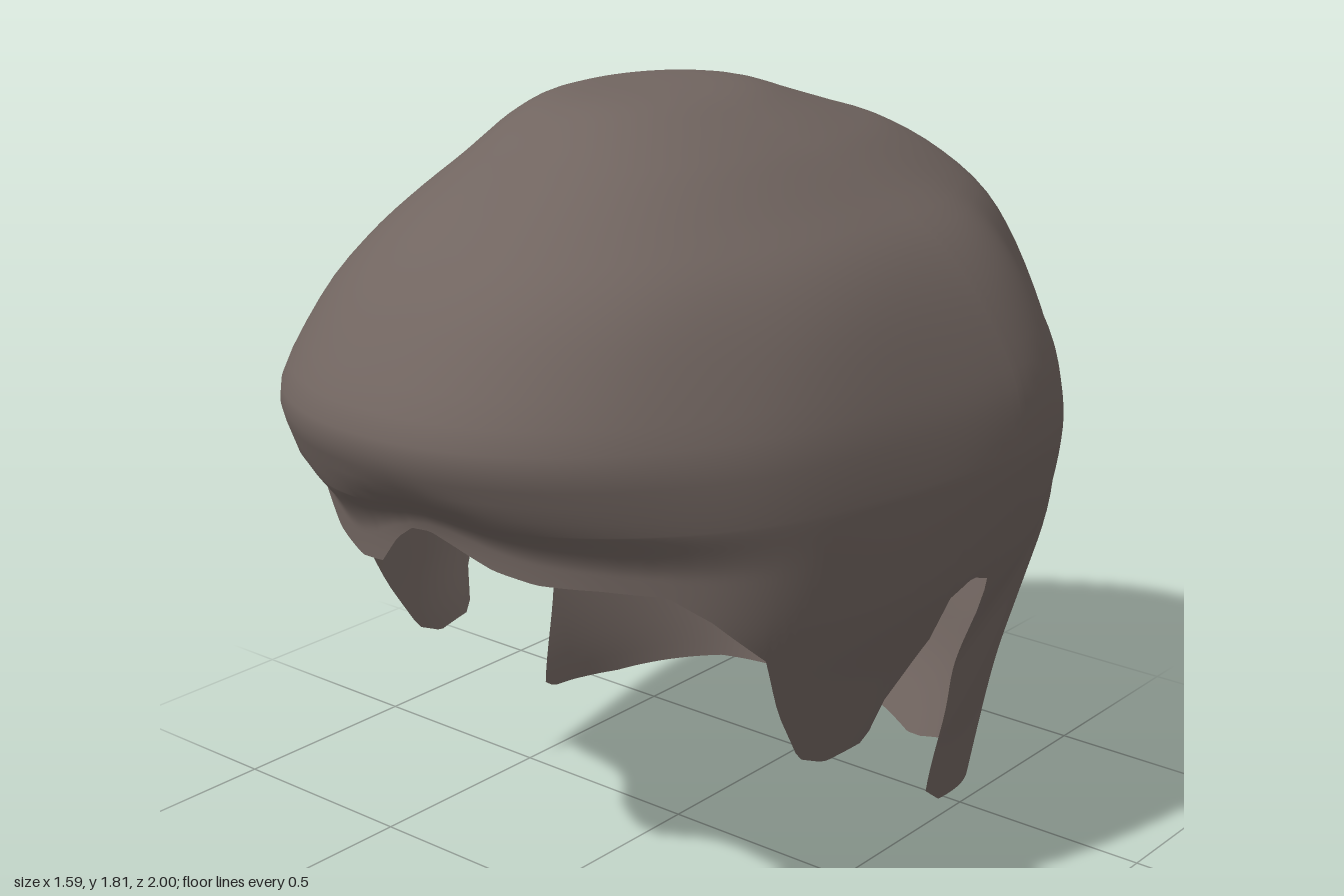
import * as THREE from 'three';

const COLS = 320, UPPER_ROWS = 34, LOWER_ROWS = 28;
const smooth = THREE.MathUtils.smoothstep;

// Horizontal cross-sections, crown to nape:
// [y, half width, centre x, front z, back z, z of widest point]
const LEVELS = [
  [1.815, 0, -0.07, 0.03, 0.03, 0.03],
  [1.812, 0.11, -0.07, 0.19, -0.14, 0.03],
  [1.797, 0.195, -0.055, 0.30, -0.26, 0.02],
  [1.76, 0.27, -0.035, 0.40, -0.37, 0],
  [1.72, 0.33, -0.015, 0.48, -0.49, -0.03],
  [1.68, 0.38, 0, 0.56, -0.61, -0.06],
  [1.61, 0.465, 0.01, 0.68, -0.74, -0.1],
  [1.52, 0.57, 0.02, 0.80, -0.83, -0.14],
  [1.40, 0.67, 0.01, 0.905, -0.895, -0.17],
  [1.24, 0.755, 0, 1.00, -0.955, -0.2],
  [1.12, 0.785, 0, 0.96, -0.985, -0.2],
  [1.00, 0.79, 0, 0.905, -1.0, -0.2],
  [0.80, 0.745, 0.01, 0.89, -0.985, -0.2],
  [0.60, 0.675, 0.01, 0.88, -0.945, -0.2],
  [0.40, 0.61, 0.02, 0.86, -0.895, -0.2],
  [0.20, 0.565, 0.025, 0.84, -0.85, -0.2],
  [0.00, 0.55, 0.02, 0.80, -0.775, -0.2],
];

// Height of the lower hem by angle in degrees (0 = front, 90 = left side)
const HEM = [
  [-180, 0.05], [-160, 0.06], [-135, 0.11], [-110, 0.12], [-95, 0.15], [-93.3, 0.17],
  [-91.8, 0.68], [-89.5, 0.75], [-85, 0.78], [-82, 0.75],
  [-81, 0.65], [-75, 0.52], [-74, 0.43], [-67, 0.42], [-62.5, 0.455], [-58, 0.59], [-54, 0.73],
  [-47, 0.83], [-41, 0.91], [-35, 0.97], [-31, 0.99], [-28, 0.975], [-23, 0.92], [-15, 0.89],
  [-9, 0.9], [-4, 0.97], [0, 1.005], [4, 1.01], [8, 0.99], [15, 0.95], [22, 0.93], [31, 0.925],
  [40, 0.91], [46, 0.85], [54, 0.74], [58, 0.59], [62.5, 0.455], [67, 0.42], [74, 0.43], [75, 0.52],
  [81, 0.65], [82, 0.75], [86, 0.78], [90.5, 0.75], [92.3, 0.65], [93.8, 0.17], [100, 0.12],
  [115, 0.09], [134, 0.06], [152, 0.03], [160, 0.005], [165, 0], [171, 0.02], [180, 0.05],
];

function hemHeight(deg) {
  const i = Math.max(1, HEM.findIndex((p) => p[0] >= deg));
  const [a, b] = [HEM[i - 1], HEM[i]];
  return THREE.MathUtils.lerp(a[1], b[1], (deg - a[0]) / (b[0] - a[0]));
}

// The brow roll echoes the fringe hem, softened
function lipHeight(deg) {
  const d = THREE.MathUtils.clamp(deg, -45, 45);
  return 0.1 + [-8, -4, 0, 4, 8].reduce((sum, o) => sum + Math.max(0.9, hemHeight(d + o)) / 5, 0);
}

// Column angles: even all round, denser along the steep ear-notch edges
function columnAngles() {
  const angles = Array.from({ length: COLS }, (_, c) => -180 + (360 * c) / COLS);
  for (const start of [-93.3, 92.3])
    for (let k = 0; k <= 18; k++) angles.push(start + (1.5 * k) / 18 + 0.003);
  return angles.sort((a, b) => a - b);
}

// Smoothly interpolated cross-section at level t
function section(t) {
  const i = Math.min(Math.floor(t), LEVELS.length - 2), f = t - i;
  const at = (k) => LEVELS[THREE.MathUtils.clamp(k, 0, LEVELS.length - 1)];
  return LEVELS[0].map((_, k) => {
    const p0 = at(i - 1)[k], p1 = at(i)[k], p2 = at(i + 1)[k], p3 = at(i + 2)[k];
    return p1 + 0.5 * f * (p2 - p0 + f * (2 * p0 - 5 * p1 + 4 * p2 - p3 + f * (3 * (p1 - p2) + p3 - p0)));
  });
}

function levelAt(y) {
  let lo = 0, hi = LEVELS.length - 1;
  for (let k = 0; k < 30; k++) {
    const mid = (lo + hi) / 2;
    if (section(mid)[0] > y) lo = mid; else hi = mid;
  }
  return lo;
}

function surfacePoint(deg, t, lip) {
  const [y, w, cx, zf, zb, zc] = section(t);
  // Nape corners sweep forward below the ears
  const sweep = (deg < 0 ? 9 : -3) * Math.exp(-(((Math.abs(deg) - 92) / 22) ** 2));
  const a = THREE.MathUtils.degToRad(deg + sweep * (1 - smooth(y, 0.12, 0.55)));
  const s = Math.sin(a), c = Math.cos(a);
  // Fuller front quarters, nearly elliptical back
  const low = 1 - smooth(y, 0.3, 1.2);
  const n = c > 0 ? 2.2 + 0.25 * low + 0.2 * smooth(y, 1.25, 1.6) : 2 + 0.12 * low;
  let r = Math.pow(Math.abs(s) ** n + Math.abs(c) ** n, -1 / n);
  // Fringe tucked in beneath the rolled brow
  const front = smooth(c, 0.5, 0.85);
  r -= 0.035 * front * (1 - smooth(y, lip - 0.06, lip + 0.06));
  // Curved groove behind the left ear, and soft lumps
  const body = smooth(y, 0.1, 0.6) * (1 - smooth(y, 1.4, 1.75));
  r -= 0.025 * body * Math.exp(-(((deg - 128 + 70 * (y - 1.2) ** 2) / 10) ** 2));
  r += 0.005 * body * (1 - front) * (Math.sin(5 * a + 4 * y) + Math.sin(9 * a - 6 * y));
  return [cx + w * s * r, y, zc + (c > 0 ? zf - zc : zc - zb) * c * r];
}

// Open shell: an apex vertex, level rings over the skull, then rings stretched down to the hem
function hairGeometry() {
  const pos = [LEVELS[0][2], LEVELS[0][0], LEVELS[0][3]], index = [];
  const rows = UPPER_ROWS + LOWER_ROWS, middle = levelAt(1.06);
  const columns = columnAngles().map((deg) => (
    { deg, lip: lipHeight(deg), end: levelAt(hemHeight(deg)) }));
  for (let r = 1; r <= rows; r++)
    for (const { deg, lip, end } of columns) {
      const t = r <= UPPER_ROWS
        ? (middle * r) / UPPER_ROWS
        : middle + ((end - middle) * (r - UPPER_ROWS)) / LOWER_ROWS;
      pos.push(...surfacePoint(deg, t, lip));
    }
  const count = columns.length;
  const id = (r, c) => 1 + (r - 1) * count + (c % count);
  for (let c = 0; c < count; c++) {
    index.push(0, id(1, c), id(1, c + 1));
    for (let r = 1; r < rows; r++) {
      index.push(id(r, c), id(r + 1, c), id(r + 1, c + 1));
      index.push(id(r, c), id(r + 1, c + 1), id(r, c + 1));
    }
  }
  const geo = new THREE.BufferGeometry();
  geo.setAttribute('position', new THREE.Float32BufferAttribute(pos, 3));
  geo.setIndex(index);
  geo.computeVertexNormals();
  return geo;
}

export function createModel() {
  const group = new THREE.Group();
  group.name = 'hairpiece';
  const material = new THREE.MeshStandardMaterial({ color: 0x716560, side: THREE.DoubleSide });
  const hair = new THREE.Mesh(hairGeometry(), material);
  hair.name = 'hairShell';
  group.add(hair);
  return group;
}
